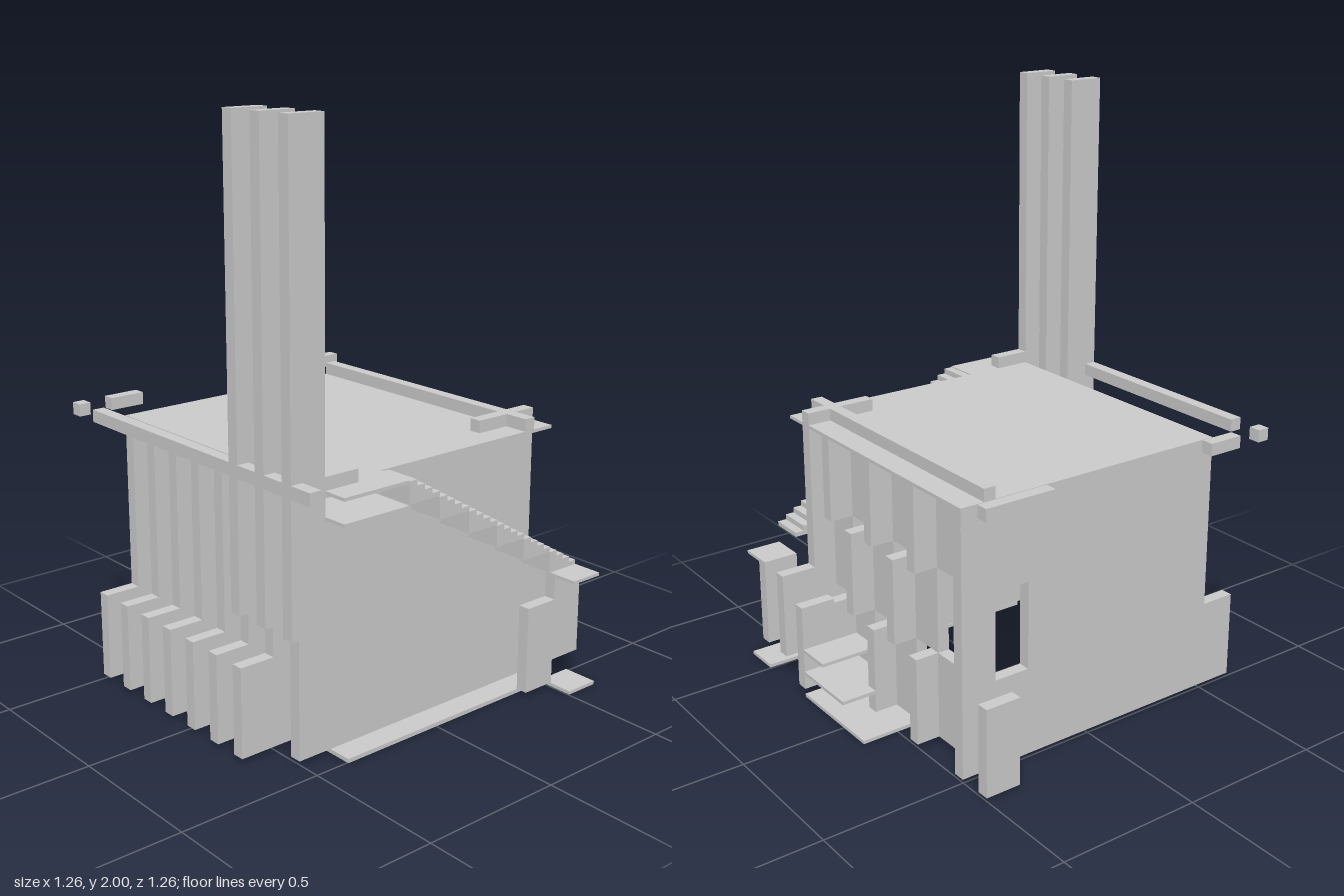
import * as THREE from 'three';

const material = new THREE.MeshStandardMaterial({ color: 0xcccccc, flatShading: true });
const C = 0.126; // planning cell
const T = 0.042; // panel thickness

// Box given by its minimum and maximum along each axis
function slab(parent, name, x0, x1, y0, y1, z0, z1) {
  const mesh = new THREE.Mesh(new THREE.BoxGeometry(x1 - x0, y1 - y0, z1 - z0), material);
  mesh.position.set((x0 + x1) / 2, (y0 + y1) / 2, (z0 + z1) / 2);
  mesh.name = name;
  parent.add(mesh);
  return mesh;
}

// Upright panel from an outline in x and y, with optional rectangular opening
function panel(parent, name, points, z0, z1, hole) {
  const toPath = (Type, pts) => new Type(pts.map(([x, y]) => new THREE.Vector2(x, y)));
  const shape = toPath(THREE.Shape, points);
  if (hole) shape.holes.push(toPath(THREE.Path, hole));
  const geometry = new THREE.ExtrudeGeometry(shape, { depth: z1 - z0, bevelEnabled: false });
  const mesh = new THREE.Mesh(geometry, material);
  mesh.position.z = z0;
  mesh.name = name;
  parent.add(mesh);
  return mesh;
}

function group(parent, name) {
  const g = new THREE.Group();
  g.name = name;
  parent.add(g);
  return g;
}

export function createModel() {
  const model = new THREE.Group();
  model.name = 'house';
  const E = 4 * C;         // half width of the main volume
  const O = 5 * C;         // outer reach of the projecting parts

  // Walls
  panel(model, 'frontWall', [
    [-E, 0.015], [E, 0.015], [E, 0.1], [O, 0.1], [O, 0.405], [E, 0.405], [E, 0.915], [-E, 0.915],
  ], 3 * C, 3 * C + T);
  panel(model, 'backWall', [
    [-O, 0.015], [E, 0.015], [E, 0.915], [-E, 0.915], [-E, 0.32], [-O, 0.32],
  ], -E, -E + T, [[2 * C, 0.32], [2 * C, 0.62], [3 * C, 0.62], [3 * C, 0.32]]);
  slab(model, 'backScreen', 3 * C, E, 0.015, 0.32, -O, -O + T);

  // Roof with the landing that meets the stair
  slab(model, 'roof', -E, E, 0.915, 0.926, -E, E);
  slab(model, 'landing', -E, -2 * C, 0.915, 0.926, E, O);
  slab(model, 'landingSoffit', -E, -2 * C, 0.836, 0.847, 3 * C + T, O);

  // Stepped fins on the right side
  const fins = group(model, 'sideFins');
  for (let k = -3; k <= 2; k++) {
    panel(fins, 'sideFin', [
      [-O, 0.015], [-3 * C, 0.015], [-3 * C, 0.915], [-E, 0.915], [-E, 0.32], [-O, 0.32],
    ], k * C, k * C + T);
  }

  // Tall blades
  const blades = group(model, 'towerBlades');
  for (const k of [2, 3, 4]) slab(blades, 'towerBlade', -O, -E, 0.49, 2, k * C, k * C + T);

  // Staggered angle screens on the left side: a fin and a return, in three rows
  const screens = group(model, 'angleScreens');
  const rows = [
    { y0: 0.015, y1: 0.32, cells: [2, 0, -2] },
    { y0: 0.32, y1: 0.62, cells: [3, 1, -1] },
    { y0: 0.62, y1: 0.915, cells: [2, 0, -2] },
  ];
  for (const { y0, y1, cells } of rows) {
    for (const k of cells) {
      const z = k * C;
      if (k < 3) slab(screens, 'screenFin', 3 * C, E, y0, y1, z, z + T);
      slab(screens, 'screenReturn', 3 * C, 3 * C + T, y0, y1, z - C, z);
    }
  }

  // Side entrance: three rising plates beside a cheek panel
  const entrance = group(model, 'sideEntrance');
  for (let i = 0; i < 3; i++) {
    const y = i * 0.084;
    slab(entrance, 'entrancePlate', 3 * C, O, y, y + 0.012, (i - 1) * C, 2 * C);
  }
  slab(entrance, 'entranceCheek', E, O, 0.03, 0.335, 2 * C, 2 * C + T);

  // Front corner porch
  const porch = group(model, 'porch');
  panel(porch, 'porchPanel', [
    [3 * C, 0.015], [E, 0.015], [E, 0.1], [O, 0.1], [O, 0.4], [E, 0.4], [E, 0.32], [3 * C, 0.32],
  ], E, E + T);
  slab(porch, 'porchCanopy', E, O, 0.4, 0.411, E, O);
  slab(porch, 'porchFloor', E, O, 0, 0.012, E, O);
  slab(model, 'frontTerrace', -3 * C, E, 0, 0.014, 3 * C, E);

  // Outside stair: six blocks of four steps
  const stair = group(model, 'stair');
  const run = C / 4;
  const rise = 0.0188;
  for (let i = 0; i < 24; i++) {
    const x = -2 * C + i * run;
    const bottom = 0.85 - Math.floor(i / 4) * 4 * rise;
    slab(stair, 'step', x, x + run, bottom, 0.922 - i * rise, E, O);
  }

  // Roof beams
  const beams = group(model, 'roofBeams');
  const beam = (x0, x1, z0, z1) => slab(beams, 'roofBeam', x0, x1, 0.926, 0.968, z0, z1);
  beam(-O, -O + T, -E, O);
  beam(3 * C, 3 * C + T, -E, E);
  beam(2 * C, E, 3 * C, 3 * C + T);
  beam(-E, -3 * C, E, E + T);
  beam(-O, -O + T, -O, -O + T);
  beam(-E, -3 * C, -O, -O + T);
  beam(2 * C, E, -O, -O + T);

  return model;
}
